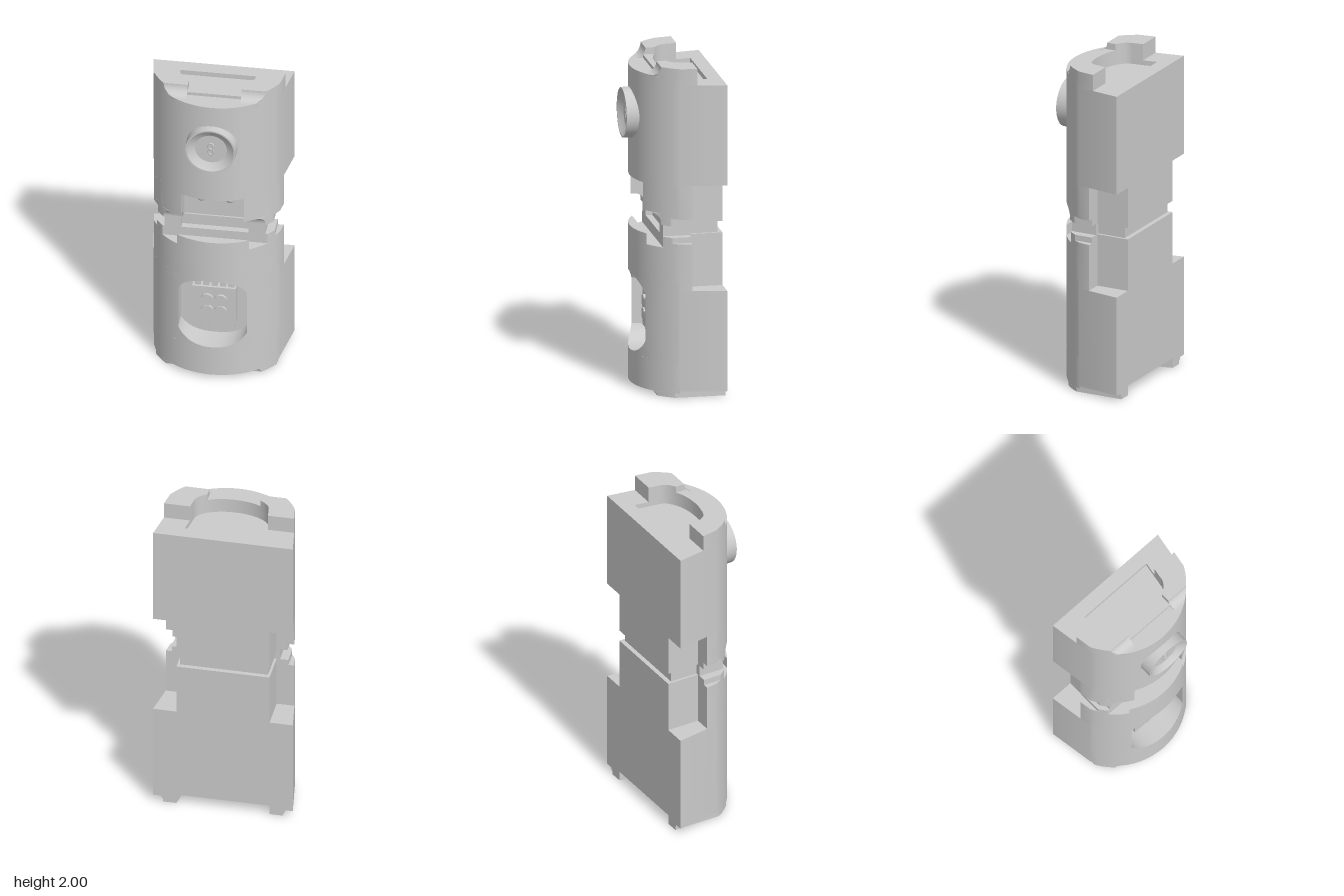
import * as THREE from 'three';
import { mergeGeometries, toCreasedNormals } from 'three/addons/utils/BufferGeometryUtils.js';

const R = 0.4225, C = -0.1945, BACK = -0.273;
const mat = new THREE.MeshStandardMaterial({ color: 0xcccccc });

// Plan outline: a circular front arc, tapered flanks and a flat back
const frontZ = (x) => C + Math.sqrt(R * R - x * x);
const halfWidth = (z) => (z > 0 ? Math.sqrt(R * R - (z - C) ** 2) : 0.375 - (0.045 * z) / 0.273);

// Half of the socket outline, from its front centre to its back corner
function socket(s, back) {
  const pts = [];
  for (let i = 0; i <= 12; i++) {
    const a = (i / 12) * Math.PI / 2;
    pts.push([0.225 * s * Math.sin(a), -0.04 + 0.12 * Math.cos(a)]);
  }
  pts.push([(0.225 + 0.157 * (-0.04 - back)) * s, back]);
  return pts;
}

// Half of a body plan (x >= 0), running from the back centre to the front centre
function half({ back = BACK, front = null, wMax = 1, side = 0, notch = 0, notchZ = 0, start = null, channel = 0 } = {}) {
  const pts = start ? [...start] : [[0, back]];
  const w = (z) => Math.min(halfWidth(z), wMax);
  if (channel) { // keep only the part of the socket wall outside the channel
    const z = -0.04 + 0.12 * Math.sqrt(1 - (channel / start[12][0]) ** 2);
    pts.splice(0, pts.length, [channel, z], ...start.filter((p) => p[0] > channel));
  }
  if (side) pts.push([side, back], [side, -0.07], [w(-0.07), -0.07]);
  else pts.push([w(back), back]);
  const end = Math.max(front === null ? 0 : halfWidth(front), notch);
  for (let i = 0; i <= 18; i++) {
    const x = 0.375 + (end - 0.375) * (i / 18);
    pts.push([Math.min(x, wMax), frontZ(x)]);
  }
  if (notch) pts.push([notch, front ?? frontZ(notch)], [notch, notchZ], [0, notchZ]);
  else if (front !== null) pts.push([channel, front]);
  return pts.filter((p, i) => !i || Math.hypot(p[0] - pts[i - 1][0], p[1] - pts[i - 1][1]) > 1e-5);
}

const mirror = (pts) => pts.map(([x, z]) => [-x, z]);
const whole = (pts) => [...pts, ...mirror(pts).reverse().filter((p) => Math.abs(p[0]) > 1e-6)];
const toVec = (pts) => pts.map(([x, z]) => new THREE.Vector2(x, -z));

// Upright slab of a plan between two heights
function slab(y0, y1, pts, hole) {
  const shape = new THREE.Shape(toVec(pts));
  if (hole) shape.holes.push(new THREE.Path(toVec(hole)));
  const g = new THREE.ExtrudeGeometry(shape, { depth: y1 - y0, bevelEnabled: false });
  return g.rotateX(-Math.PI / 2).translate(0, y0, 0);
}
const layer = (y0, y1, o) => slab(y0, y1, whole(half(o)));
const pair = (y0, y1, o) => [slab(y0, y1, half(o)), slab(y0, y1, mirror(half(o)))];

// Concave fillets on a front shelf, left and right; dir is up (1) or down (-1)
function coves(y, dir, r, z0, x0) {
  return [1, -1].map((s) => {
    const shape = new THREE.Shape();
    shape.moveTo(z0 - 0.01, 0);
    shape.lineTo(z0 + r, 0);
    shape.absarc(z0 + r, r, r, -Math.PI / 2, -Math.PI, true);
    shape.lineTo(z0 - 0.01, r);
    const g = new THREE.ExtrudeGeometry(shape, { depth: 1, bevelEnabled: false, curveSegments: 8 });
    const p = g.attributes.position;
    for (let i = 0; i < p.count; i++) {
      const z = p.getX(i), h = p.getY(i), t = p.getZ(i);
      p.setXYZ(i, s * (x0 + t * (halfWidth(z) - x0)), y + dir * h, z);
    }
    if (s * dir > 0) { // mirrored copies need their corner order swapped
      const a = p.array;
      for (let i = 0; i < a.length; i += 9)
        for (let k = 0; k < 3; k++) [a[i + 3 + k], a[i + 6 + k]] = [a[i + 6 + k], a[i + 3 + k]];
    }
    g.computeVertexNormals();
    return g;
  });
}

// Curved front panel around the rounded window, with window walls and floor
function windowPanel(cy, size, floorZ) {
  const N = 64, loops = [];
  for (let k = 0; k <= 5; k++) {
    const loop = [];
    for (let i = 0; i < N; i++) {
      const a = (i / N) * Math.PI * 2, c = Math.cos(a), s = Math.sin(a);
      const q = size / Math.max(Math.abs(c), Math.abs(s));
      const e = 0.235 / (Math.abs(c) ** 2.5 + Math.abs(s) ** 2.5) ** 0.4;
      const rim = [THREE.MathUtils.clamp(e * c, -0.205, 0.205), e * s];
      const t = Math.min(k / 4, 1);
      const x = q * c + (rim[0] - q * c) * t, y = q * s + (rim[1] - q * s) * t;
      loop.push([x, cy + y, k === 5 ? floorZ : frontZ(x)]);
    }
    loops.push(loop);
  }
  loops.push(Array(N).fill([0, cy, floorZ]));
  const v = [];
  for (let k = 0; k < 6; k++)
    for (let i = 0; i < N; i++) {
      const j = (i + 1) % N, a = loops[k][i], b = loops[k][j], c = loops[k + 1][j], d = loops[k + 1][i];
      v.push(...a, ...b, ...c);
      if (k < 5) v.push(...a, ...c, ...d);
    }
  const g = new THREE.BufferGeometry();
  g.setAttribute('position', new THREE.Float32BufferAttribute(v, 3));
  g.computeVertexNormals();
  return g;
}

export function createModel() {
  const model = new THREE.Group();
  const add = (name, g, x = 0, y = 0, z = 0, parent = model) => {
    const m = new THREE.Mesh(g, mat);
    m.name = name;
    m.position.set(x, y, z);
    parent.add(m);
    return m;
  };
  const addBody = (name, parts) => add(name, toCreasedNormals(mergeGeometries(parts), 0.4));
  const side = 0.28;

  // Lower body: socketed foot, window section, waist cut-outs
  const foot = socket(1.07, BACK), win = { notch: 0.24, notchZ: 0.055 };
  addBody('lowerBody', [
    ...pair(0, 0.025, { start: foot, channel: 0.16, front: 0.12, wMax: 0.36 }),
    layer(0.025, 0.04, { start: foot, wMax: 0.37 }),
    layer(0.04, 0.06, { start: foot }),
    layer(0.06, 0.215),
    layer(0.215, 0.65, win),
    layer(0.65, 0.695, { ...win, side }),
    layer(0.695, 0.905, { side }),
    layer(0.905, 0.935, { side, front: 0.09 }),
    layer(0.935, 0.97, { side, front: 0.09, wMax: 0.35 }),
    ...coves(0.025, -1, 0.025, 0.12, 0.16),
  ]);

  // Thin lip in front of the groove
  const lip = [[0, 0.17]];
  for (let i = 0; i <= 10; i++) {
    const x = halfWidth(0.17) * (1 - i / 10);
    lip.push([x, frontZ(x)]);
  }
  addBody('grooveLip', [slab(0.905, 0.97, whole(lip))]);

  // Neck joining the two bodies
  const recess = { notch: 0.187, notchZ: 0.04 };
  addBody('neck', [layer(0.97, 1.04, { back: -0.245, front: 0.09, wMax: 0.3, side: 0.265, notch: 0.2, notchZ: 0.05 })]);

  // Upper body: front recess below, stepped and socketed top
  const rim = socket(1, -0.1), well = socket(1, -0.187);
  addBody('upperBody', [
    layer(1.04, 1.085, { side, ...recess, front: 0.1, wMax: 0.345 }),
    layer(1.085, 1.11, { side, ...recess, front: 0.1 }),
    layer(1.11, 1.275, { side, ...recess }),
    layer(1.275, 1.29, { side }),
    layer(1.29, 1.87),
    slab(1.87, 1.9, whole(half()), whole(well)),
    layer(1.9, 1.94, { back: -0.1, start: rim }),
    layer(1.94, 1.96, { back: -0.1, start: rim, front: 0.115 }),
    ...pair(1.96, 2, { back: -0.1, start: rim, channel: 0.16, front: 0.1 }),
    ...coves(1.94, 1, 0.06, 0.1, 0.16),
    ...coves(1.11, -1, 0.06, 0.1, 0.187),
  ]);

  // Window with chip, pins and contacts
  add('window', toCreasedNormals(windowPanel(0.455, 0.24, 0.065), 0.4));
  const chip = new THREE.Group();
  chip.name = 'chip';
  chip.position.set(0, 0.455, 0.065);
  model.add(chip);
  add('chipBlock', new THREE.BoxGeometry(0.26, 0.25, 0.06), 0, 0, 0.03, chip);
  for (const s of [1, -1])
    for (let i = -2; i <= 2; i++) {
      add('pinShoulder', new THREE.BoxGeometry(0.036, 0.03, 0.02), i * 0.05, s * 0.138, 0.035, chip);
      add('pinFoot', new THREE.BoxGeometry(0.036, 0.03, 0.025), i * 0.05, s * 0.16, 0.0125, chip);
    }
  for (const x of [-0.04, 0.04])
    for (const y of [-0.04, 0.04])
      add('contact', new THREE.CylinderGeometry(0.039, 0.039, 0.02, 24).rotateX(Math.PI / 2), x, y, 0.066, chip);

  // Studs in the front recess
  for (const x of [-0.085, 0.085])
    add('stud', new THREE.SphereGeometry(0.028, 20, 12), x, 1.17, 0.042);

  // Dished round button with a tiny paired-ring detail
  const profile = [[0.153, 0.18], [0.149, 0.275], [0.14, 0.275], [0.125, 0.262], [0.095, 0.245], [0, 0.245]];
  const dish = new THREE.LatheGeometry(profile.map(([r, h]) => new THREE.Vector2(r, h)), 48).rotateX(Math.PI / 2);
  add('button', toCreasedNormals(dish, 0.5), 0, 1.657, 0);
  for (const s of [1, -1])
    add('buttonRing', new THREE.TorusGeometry(0.015, 0.005, 8, 16).scale(1, 1.4, 1), 0, 1.657 + s * 0.018, 0.247);

  return model;
}
